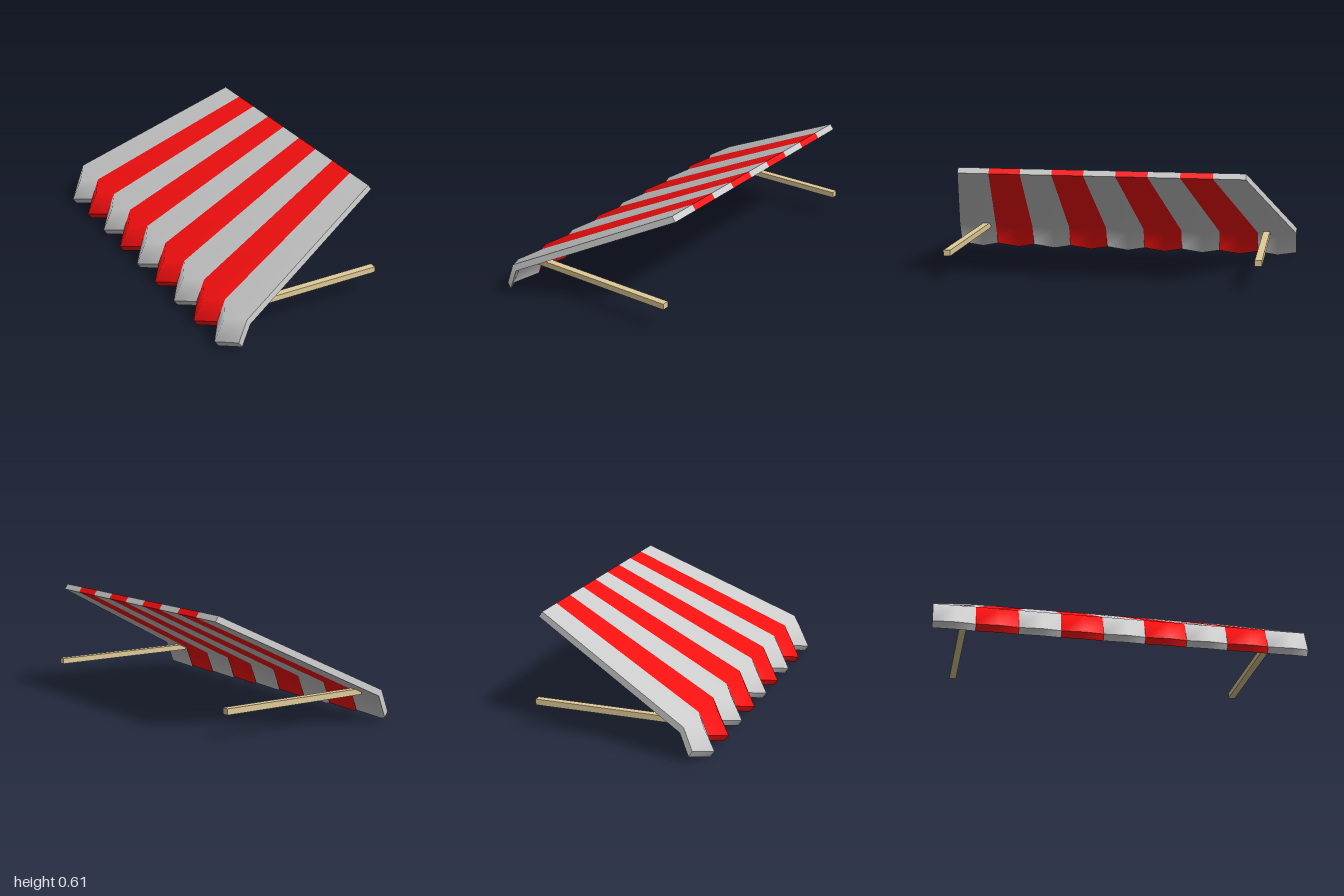
import * as THREE from 'three';
import { mergeGeometries } from 'three/addons/utils/BufferGeometryUtils.js';

const STRIPES = 9;
const TOP_HALF = 0.76; // half width at the wall
const LOW_HALF = 1; // half width at the valance

// Profiles [x, y] from the wall, over the bend, to the hem
const SEAM = {
  outer: [[0.475, 0.615], [-0.385, 0.185], [-0.43, 0.065]],
  inner: [[0.495, 0.587], [-0.365, 0.155], [-0.41, 0.035]],
};
const CENTRE = {
  outer: [[0.475, 0.615], [-0.45, 0.153], [-0.507, 0.033]],
  inner: [[0.495, 0.587], [-0.43, 0.122], [-0.485, 0.002]],
};

// Grid of points as a surface, facing (down the rows) x (along the columns)
function patch(rows) {
  const g = new THREE.PlaneGeometry(1, 1, rows[0].length - 1, rows.length - 1);
  rows.flat().forEach((p, i) => g.attributes.position.setXYZ(i, ...p));
  g.computeVertexNormals();
  return g;
}

// One stripe: sloped cloth, bulging valance and pointed hem
function stripeGeometry(i) {
  const columns = [0, 0.5, 1].map((t) => {
    const f = ((i + t) / STRIPES) * 2 - 1;
    const z = [f * TOP_HALF, f * LOW_HALF, f * LOW_HALF];
    const profile = t === 0.5 ? CENTRE : SEAM;
    const place = (pts) => pts.map(([x, y], k) => [x, y, z[k]]);
    return { outer: place(profile.outer), inner: place(profile.inner) };
  });
  const row = (side, k) => columns.map((c) => c[side][k]);
  const parts = [
    patch([0, 1, 2].map((k) => row('outer', k))),
    patch([2, 1, 0].map((k) => row('inner', k))),
    patch([row('outer', 2), row('inner', 2)]), // hem
    patch([row('inner', 0), row('outer', 0)]), // wall edge
  ];
  // Closed ends on the outermost stripes
  const end = (c, a, b) => patch([0, 1, 2].map((k) => [c[a][k], c[b][k]]));
  if (i === 0) parts.push(end(columns[0], 'inner', 'outer'));
  if (i === STRIPES - 1) parts.push(end(columns[2], 'outer', 'inner'));
  return mergeGeometries(parts);
}

export function createModel() {
  const model = new THREE.Group();
  model.name = 'awning';

  const white = new THREE.MeshStandardMaterial({ color: 0xcccccc });
  const red = new THREE.MeshStandardMaterial({ color: 0xff1010 });
  const wood = new THREE.MeshStandardMaterial({ color: 0xe0cb98 });

  // Striped canopy
  const canopy = new THREE.Group();
  canopy.name = 'canopy';
  for (let i = 0; i < STRIPES; i++) {
    const stripe = new THREE.Mesh(stripeGeometry(i), i % 2 ? red : white);
    stripe.name = i % 2 ? 'redStripe' : 'whiteStripe';
    canopy.add(stripe);
  }
  model.add(canopy);

  // Horizontal support arms
  for (const side of [-1, 1]) {
    const arm = new THREE.Mesh(new THREE.BoxGeometry(0.865, 0.032, 0.038), wood);
    arm.position.set(0.0525, 0.152, side * 0.83);
    arm.name = side > 0 ? 'frontArm' : 'backArm';
    model.add(arm);
  }
  return model;
}
